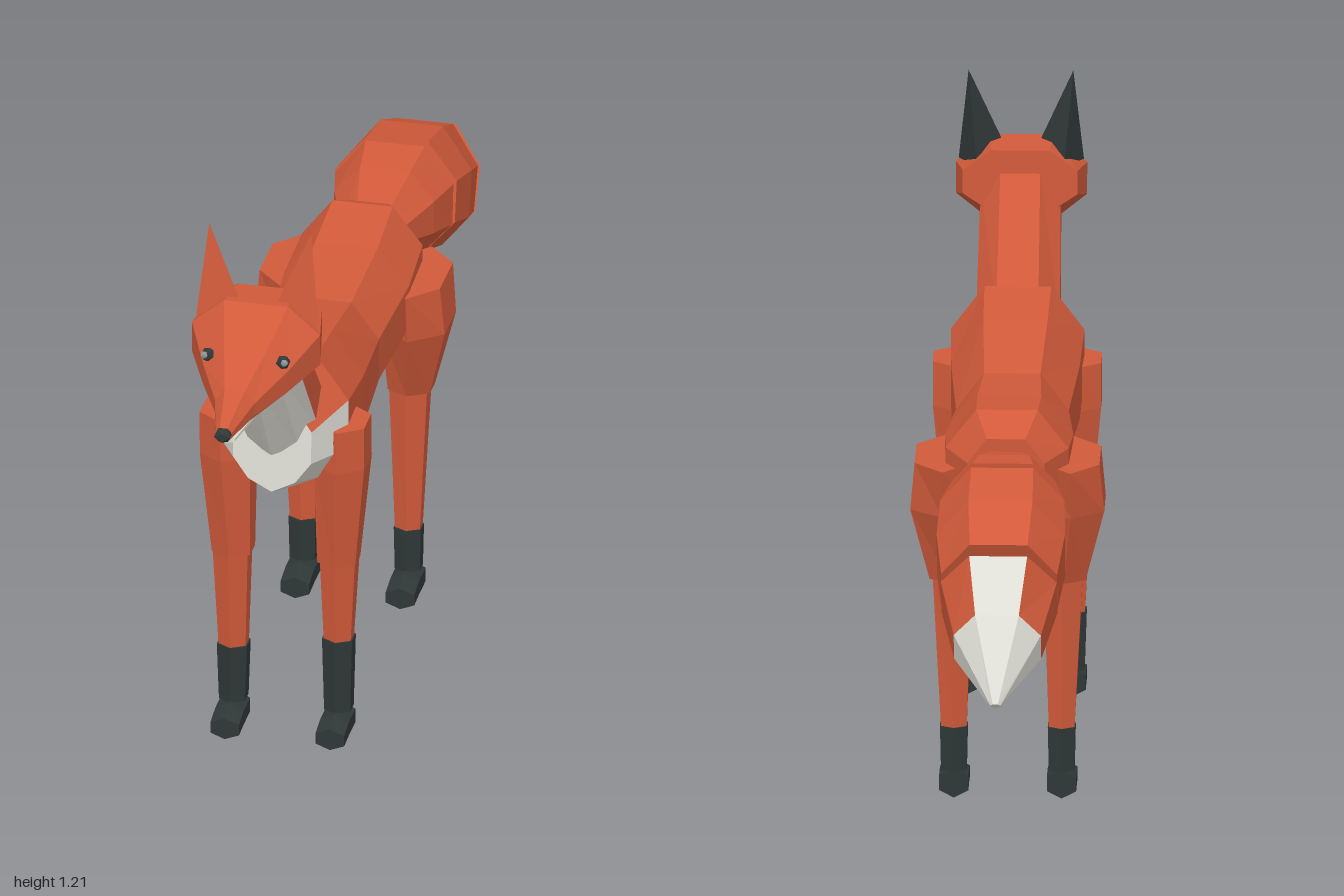
import * as THREE from 'three';

const mat = (name, color) => Object.assign(new THREE.MeshStandardMaterial({ color }), { name });

export function createModel() {
  const fur = mat('russet fur', 0xd15a3a);
  const white = mat('white fur', 0xdfded6);
  const dark = mat('dark fur', 0x2f3737);
  const grey = mat('eye grey', 0x8b9496);
  const model = new THREE.Group();
  const V = (x, y, z) => new THREE.Vector3(x, y, z);

  // Faceted mesh from faces [material, points...]; turned outward by signed volume
  function facets(name, faces, parent = model) {
    const mats = [...new Set(faces.map(f => f[0]))];
    const tris = [];
    let volume = 0;
    const mid = V(0, 0, 0);
    faces.forEach(f => mid.addScaledVector(f[1], 1 / faces.length));
    mats.forEach((m, k) => faces.filter(f => f[0] === m).forEach(([, ...p]) => {
      for (let i = 1; i + 1 < p.length; i++) {
        tris.push([k, p[0], p[i], p[i + 1]]);
        const [a, b, c] = [p[0], p[i], p[i + 1]].map(q => q.clone().sub(mid));
        volume += a.dot(b.cross(c));
      }
    }));
    const pos = [];
    const geo = new THREE.BufferGeometry();
    tris.forEach(([k, a, b, c], i) => {
      for (const q of volume > 0 ? [a, b, c] : [a, c, b]) pos.push(q.x, q.y, q.z);
      const last = geo.groups[geo.groups.length - 1];
      if (last && last.materialIndex === k) last.count += 3;
      else geo.addGroup(i * 3, 3, k);
    });
    geo.setAttribute('position', new THREE.Float32BufferAttribute(pos, 3));
    geo.computeVertexNormals();
    const mesh = new THREE.Mesh(geo, mats.length > 1 ? mats : mats[0]);
    mesh.name = name;
    parent.add(mesh);
    return mesh;
  }

  // Skin between rings; pick(segment, side) gives the material, caps are segment -1 and 'end'
  function loft(name, rings, pick, parent) {
    const faces = [], n = rings[0].length;
    for (let i = 0; i + 1 < rings.length; i++) {
      for (let j = 0; j < n; j++) {
        const k = (j + 1) % n;
        faces.push([pick(i, j), rings[i][j], rings[i][k], rings[i + 1][k], rings[i + 1][j]]);
      }
    }
    faces.push([pick(-1, 0), ...rings[0].slice().reverse()]);
    faces.push([pick('end', 0), ...rings[rings.length - 1]]);
    return facets(name, faces, parent);
  }

  // Body cross-section: flat back (side 8), flanks, pointed belly (sides 3 and 4)
  const half = [[0.5, 1], [1, 0.4], [1, -0.3], [0.6, -0.75], [0, -1]];
  const profile = [...half, ...half.slice(0, 4).reverse().map(([x, v]) => [-x, v])];
  const section = ([tz, ty, bz, by, w]) => profile.map(([x, v]) => {
    const t = (1 - v) / 2;
    return V(x * w, ty + (by - ty) * t, tz + (bz - tz) * t);
  });
  const isBelly = j => j === 3 || j === 4;

  // Torso with white chest and belly
  loft('torso', [
    [0.545, 0.77, 0.56, 0.58, 0.078],
    [0.45, 0.83, 0.46, 0.535, 0.13],
    [0.3, 0.81, 0.3, 0.5, 0.125],
    [0.1, 0.77, 0.1, 0.52, 0.11],
    [-0.1, 0.79, -0.1, 0.535, 0.125],
    [-0.24, 0.81, -0.24, 0.55, 0.12],
    [-0.315, 0.775, -0.315, 0.61, 0.075],
  ].map(section), (i, j) => i === -1 || isBelly(j) || (i === 0 && j > 0 && j < 7) ? white : fur);

  // Neck with white throat
  loft('neck', [
    [0.41, 0.79, 0.56, 0.66, 0.082],
    [0.61, 1.01, 0.72, 0.895, 0.078],
  ].map(section), (i, j) => i === 0 && j > 1 && j < 6 ? white : fur);

  // Head, lower jaw and nose
  const head = new THREE.Group();
  head.name = 'head';
  model.add(head);
  loft('skull', [
    [0.61, 1.055, 0.605, 0.92, 0.112],
    [0.695, 1.06, 0.69, 0.875, 0.128],
    [0.79, 1.005, 0.79, 0.878, 0.084],
    [0.88, 0.962, 0.88, 0.885, 0.04],
    [0.98, 0.927, 0.975, 0.897, 0.015],
  ].map(section), (i, j) => isBelly(j) ? white : fur, head);
  loft('lowerJaw', [
    [0.72, 0.89, 0.72, 0.864, 0.04],
    [0.94, 0.893, 0.94, 0.878, 0.014],
  ].map(section), () => white, head);

  const blob = (name, material, r, x, y, z) => {
    const mesh = new THREE.Mesh(new THREE.IcosahedronGeometry(r, 0), material);
    mesh.name = name;
    mesh.position.set(x, y, z);
    head.add(mesh);
    return mesh;
  };
  blob('nose', dark, 0.019, 0, 0.916, 0.982).scale.y = 0.85;

  for (const s of [1, -1]) {
    const side = s > 0 ? 'left' : 'right';
    // Eyes
    blob(side + 'Eye', dark, 0.015, s * 0.075, 0.985, 0.785);
    blob(side + 'EyeGlint', grey, 0.008, s * 0.08, 0.989, 0.796);

    // Ears: russet in front, dark behind
    const inner = V(s * 0.035, 1.05, 0.677), outer = V(s * 0.122, 1.015, 0.682);
    const back = V(s * 0.085, 1.02, 0.618), tip = V(s * 0.102, 1.205, 0.656);
    facets(side + 'Ear', [
      [fur, inner, outer, tip], [dark, outer, back, tip],
      [dark, back, inner, tip], [dark, outer, inner, back],
    ], head);
  }

  // Tail in three separate pieces with a white end
  const tail = new THREE.Group();
  tail.name = 'tail';
  model.add(tail);
  [
    [[-0.3, 0.745, -0.3, 0.665, 0.055], [-0.44, 0.785, -0.41, 0.6, 0.1], [-0.527, 0.797, -0.5, 0.56, 0.118]],
    [[-0.55, 0.796, -0.5, 0.56, 0.121], [-0.67, 0.77, -0.6, 0.51, 0.125], [-0.785, 0.717, -0.685, 0.483, 0.113]],
    [[-0.812, 0.703, -0.685, 0.483, 0.113], [-0.895, 0.61, -0.82, 0.447, 0.085], [-1, 0.462, -0.985, 0.45, 0.01]],
  ].forEach((rows, k) => loft(['tailBase', 'tailMiddle', 'tailEnd'][k], rows.map(section),
    (i, j) => k === 2 && (i === 1 || i === 'end' || (i === 0 && j === 8)) ? white : fur, tail));

  // Six-sided limb ring from [y, x centre, z centre, half width, half depth]
  const limbRing = s => ([y, x, z, w, d]) => Array.from({ length: 6 }, (_, i) => {
    const a = i * Math.PI / 3;
    return V(s * x + Math.sin(a) * w / 0.866, y, z + Math.cos(a) * d);
  });

  function leg(name, s, upper, lower, sock, footZ) {
    const group = new THREE.Group();
    group.name = name;
    model.add(group);
    loft('upperLeg', upper.map(limbRing(s)), () => fur, group);
    loft('lowerLeg', lower.map(limbRing(s)), () => fur, group);
    loft('sock', sock.map(limbRing(s)), () => dark, group);
    // Paw: six-sided wedge with an edge along the top and bottom
    const paw = [[footZ, 0.06], [footZ + 0.055, 0.058], [footZ + 0.098, 0.045]].map(([z, h]) =>
      Array.from({ length: 6 }, (_, i) => {
        const a = i * Math.PI / 3;
        return V(s * 0.105 + Math.sin(a) * 0.033, h / 2 + Math.cos(a) * h / 2, z);
      }));
    loft('paw', paw, () => dark, group);
  }

  for (const s of [1, -1]) {
    const side = s > 0 ? 'Left' : 'Right';
    const sockTop = s > 0 ? 0.21 : 0.175;
    leg('front' + side + 'Leg', s,
      [[0.69, 0.118, 0.435, 0.046, 0.065], [0.6, 0.114, 0.433, 0.05, 0.068], [0.38, 0.105, 0.43, 0.038, 0.046]],
      [[0.385, 0.107, 0.43, 0.035, 0.042], [sockTop, 0.105, 0.428, 0.027, 0.031]],
      [[sockTop, 0.105, 0.428, 0.03, 0.034], [0.055, 0.105, 0.428, 0.026, 0.032]], 0.41);
    leg('hind' + side + 'Leg', s,
      [[0.7, 0.125, -0.185, 0.055, 0.115], [0.6, 0.125, -0.18, 0.064, 0.1], [0.45, 0.11, -0.185, 0.042, 0.045]],
      [[0.455, 0.108, -0.185, 0.038, 0.041], [0.145, 0.105, -0.185, 0.025, 0.026]],
      [[0.145, 0.105, -0.185, 0.027, 0.029], [0.055, 0.105, -0.185, 0.025, 0.028]], -0.205);
  }
  return model;
}
